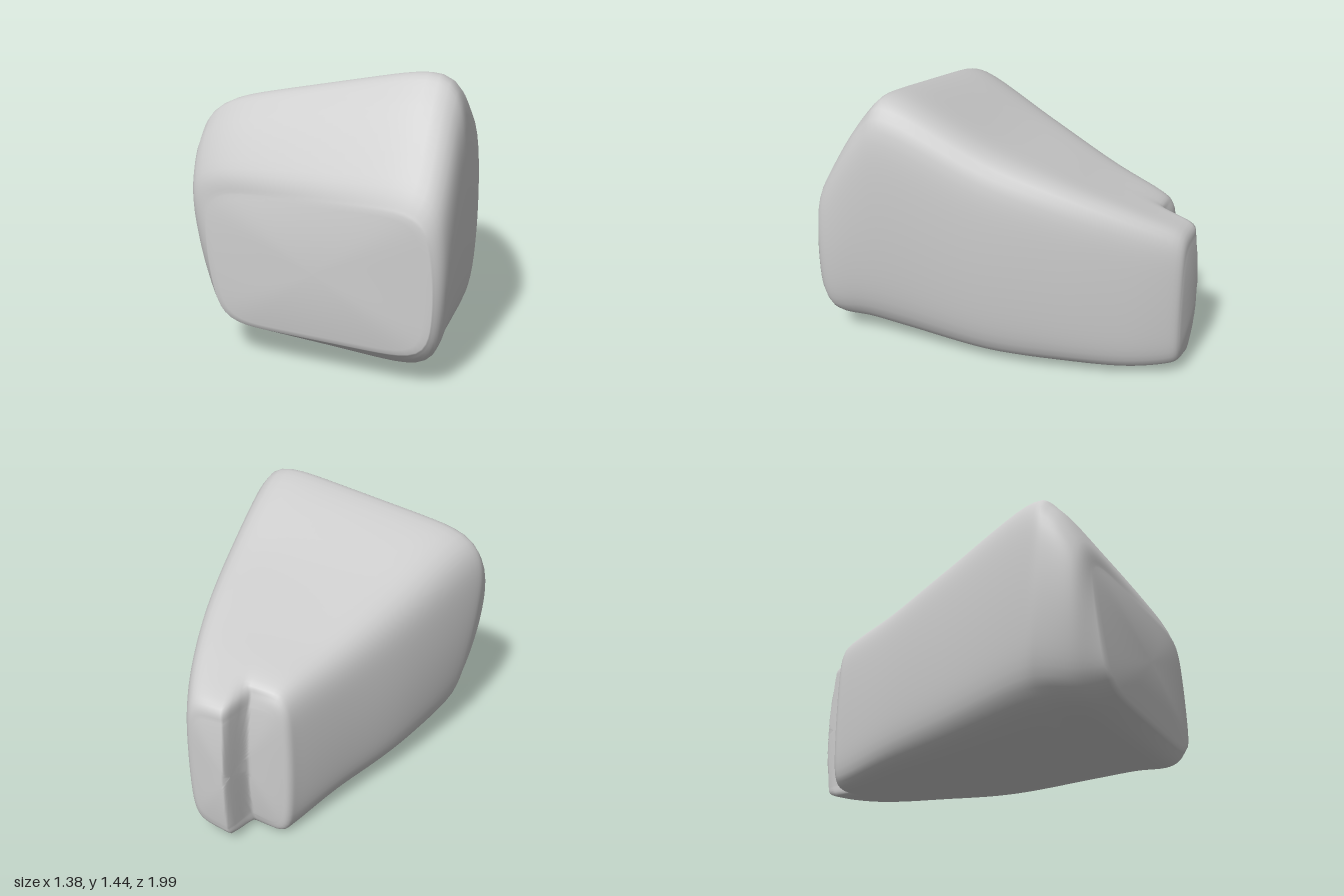
import * as THREE from 'three';

// Cross-sections from front to back. Four corners each (x, y, z):
// bottom -x, bottom +x, top +x, top -x; then how sharply the section steps in depth.
const SECTIONS = [
  [-0.47, 0.18, 0.87, 0.60, 0.17, 0.99, 0.57, 0.87, 0.98, -0.55, 0.85, 0.83, 0],
  [-0.53, 0.13, 0.72, 0.63, 0.09, 0.91, 0.63, 1.02, 0.91, -0.65, 0.96, 0.80, 0],
  [-0.57, 0.12, 0.56, 0.63, 0.08, 0.71, 0.65, 1.40, 0.66, -0.68, 1.17, 0.67, 0],
  [-0.58, 0.10, 0.42, 0.62, 0.06, 0.46, 0.65, 1.48, 0.49, -0.64, 1.25, 0.52, 0],
  [-0.46, 0.05, 0.00, 0.58, 0.03, 0.00, 0.60, 1.25, 0.00, -0.47, 1.09, 0.02, 0],
  [-0.31, 0.03, -0.40, 0.50, 0.04, -0.40, 0.51, 1.10, -0.40, -0.31, 0.96, -0.40, 0],
  [-0.20, -0.01, -0.70, 0.40, 0.05, -0.72, 0.40, 0.97, -0.72, -0.20, 0.89, -0.70, 0.3],
  [-0.17, 0.00, -0.78, 0.30, 0.08, -0.93, 0.30, 0.86, -0.93, -0.17, 0.84, -0.78, 1],
  [-0.13, 0.06, -0.80, 0.26, 0.14, -0.975, 0.25, 0.76, -0.97, -0.13, 0.78, -0.80, 1],
];
const AROUND = 96, STEPS = 6, CAP = 16, POWER = 7, SIDE_BULGE = 0.08;

function catmull(a, b, c, d, t) {
  return 0.5 * (2 * b + (c - a) * t + (2 * a - 5 * b + 4 * c - d) * t * t
    + (3 * b - a - 3 * c + d) * t * t * t);
}

// Smoothly interpolated section at position s along the list
function sectionAt(s) {
  const last = SECTIONS.length - 1;
  const i = Math.min(Math.floor(s), last - 1);
  const at = (n) => SECTIONS[Math.max(0, Math.min(last, n))];
  return at(i).map((_, k) => catmull(at(i - 1)[k], at(i)[k], at(i + 1)[k], at(i + 2)[k], s - i));
}

// Point of a section for u, v in -1..1, with swollen sides and the optional step across x
function pointOn(sec, u, v) {
  const a = (u + 1) / 2, b = (v + 1) / 2;
  const wide = (u * (1 + SIDE_BULGE * (1 - v * v)) + 1) / 2;
  const step = THREE.MathUtils.smoothstep(u, -0.16, 0.08);
  const bilinear = (k, w) =>
    (sec[k] * (1 - w) + sec[3 + k] * w) * (1 - b) + (sec[9 + k] * (1 - w) + sec[6 + k] * w) * b;
  return [bilinear(0, wide), bilinear(1, a), bilinear(2, THREE.MathUtils.lerp(a, step, sec[12]))];
}

function createRockGeometry() {
  const positions = [], index = [];
  let rings = 0;

  // One rounded-square ring, shrunk by k for the end caps
  function addRing(sec, k, bulge) {
    for (let j = 0; j < AROUND; j++) {
      const t = (j / AROUND) * Math.PI * 2, c = Math.cos(t), s = Math.sin(t);
      const r = k / Math.pow(Math.abs(c) ** POWER + Math.abs(s) ** POWER, 1 / POWER);
      const p = pointOn(sec, c * r, s * r);
      p[2] += bulge * (1 - k * k);
      positions.push(...p);
    }
    rings++;
  }

  const last = SECTIONS.length - 1;
  for (let i = 0; i < CAP; i++) addRing(SECTIONS[0], i / CAP, 0.03); // front face
  for (let i = 0; i <= last * STEPS; i++) addRing(sectionAt(i / STEPS), 1, 0); // body
  for (let i = CAP - 1; i >= 0; i--) addRing(SECTIONS[last], i / CAP, -0.025); // back face

  for (let i = 0; i < rings - 1; i++) {
    for (let j = 0; j < AROUND; j++) {
      const n = (j + 1) % AROUND;
      const a = i * AROUND + j, b = i * AROUND + n;
      const c = a + AROUND, d = b + AROUND;
      index.push(a, c, b, b, c, d);
    }
  }
  const geometry = new THREE.BufferGeometry();
  geometry.setAttribute('position', new THREE.Float32BufferAttribute(positions, 3));
  geometry.setIndex(index);
  geometry.computeVertexNormals();
  return geometry;
}

export function createModel() {
  const group = new THREE.Group();
  group.name = 'boulder';
  const rock = new THREE.Mesh(
    createRockGeometry(),
    new THREE.MeshStandardMaterial({ color: 0xcccccc }),
  );
  rock.name = 'rock';
  group.add(rock);
  return group;
}
